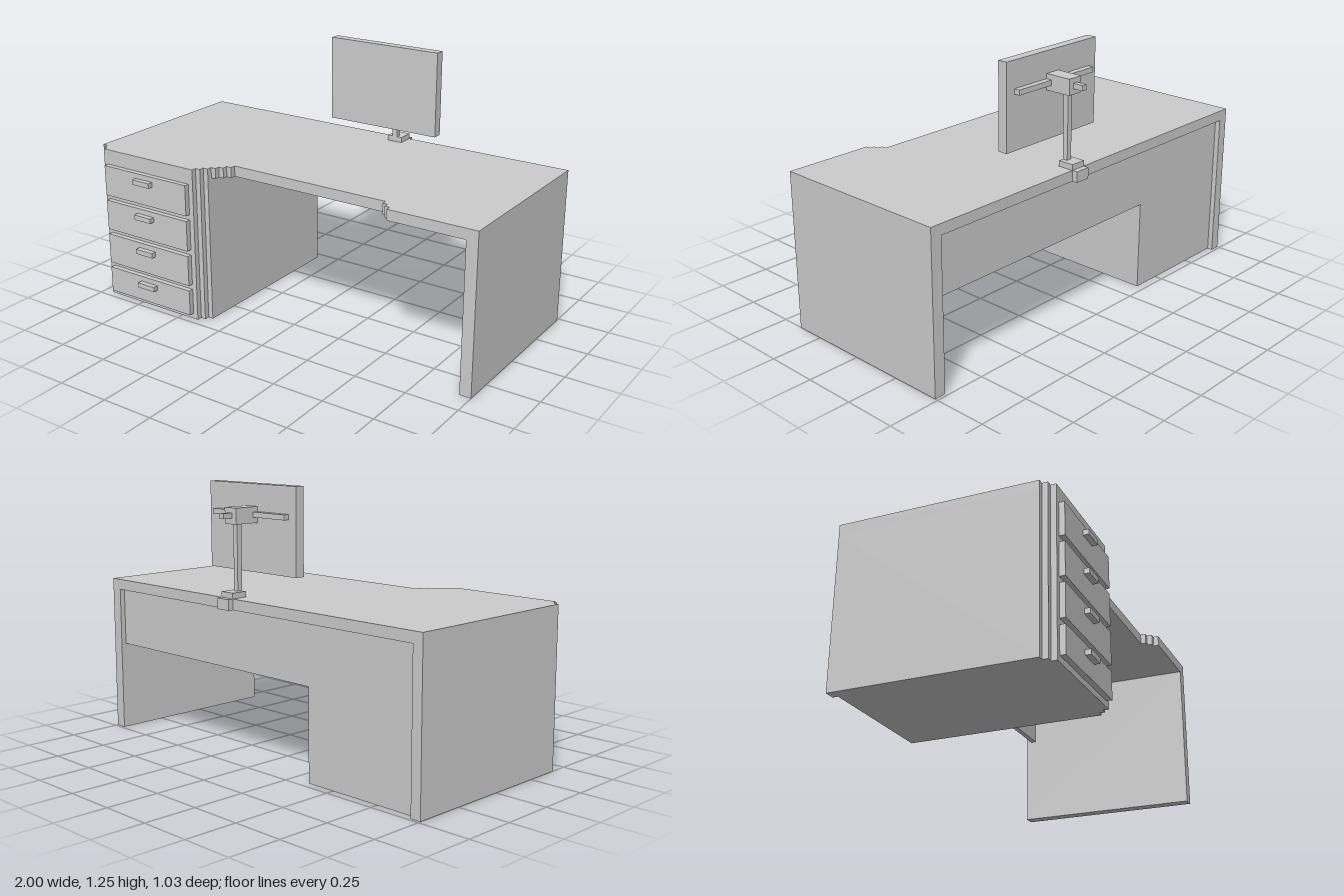
import * as THREE from 'three';

const U = 0.025; // step size of the blocky outline
const BACK = -0.487;
const material = new THREE.MeshStandardMaterial({ color: 0xcccccc, flatShading: true });

// Box given by its min/max extents on each axis
function box(parent, name, [x0, x1], [y0, y1], [z0, z1]) {
  const mesh = new THREE.Mesh(new THREE.BoxGeometry(x1 - x0, y1 - y0, z1 - z0), material);
  mesh.position.set((x0 + x1) / 2, (y0 + y1) / 2, (z0 + z1) / 2);
  mesh.name = name;
  parent.add(mesh);
}

// Vertical slab from an (x, z) plan outline
function slab(parent, name, plan, y0, y1) {
  const shape = new THREE.Shape(plan.map(([x, z]) => new THREE.Vector2(x, -z)));
  const geometry = new THREE.ExtrudeGeometry(shape, { depth: y1 - y0, bevelEnabled: false });
  geometry.rotateX(-Math.PI / 2);
  const mesh = new THREE.Mesh(geometry, material);
  mesh.position.y = y0;
  mesh.name = name;
  parent.add(mesh);
}

// Staircase of n steps in plan; each step moves in z then x (or x then z)
function stairs(x, z, n, dz, xFirst = false) {
  const points = [[x, z]];
  for (let i = 0; i < n; i++) {
    if (xFirst) points.push([x + U, z]);
    else points.push([x, z + dz]);
    x += U;
    z += dz;
    points.push([x, z]);
  }
  return points;
}

export function createModel() {
  const desk = new THREE.Group();
  desk.name = 'desk';

  // Desktop with stepped corners and a knee cut-out
  slab(desk, 'desktop', [
    [-1, BACK],
    ...stairs(-1, 0.415, 2, U, true),
    ...stairs(-0.405, 0.465, 5, -U),
    [-0.28, 0.313],
    ...stairs(0.525, 0.313, 2, U),
    [0.575, 0.388], [1, 0.388], [1, BACK],
  ], 0.70, 0.75);

  // Drawer pedestal, its back recessed behind the outer side wall
  slab(desk, 'pedestal', [
    [-1, BACK],
    ...stairs(-1, 0.415, 2, U, true),
    ...stairs(-0.405, 0.465, 2, -U),
    [-0.355, -0.462], [-0.95, -0.462], [-0.95, BACK],
  ], 0, 0.70);

  box(desk, 'sideLeg', [0.945, 1], [0, 0.70], [BACK, 0.388]);
  box(desk, 'modestyPanel', [-0.355, 0.945], [0.425, 0.70], [-0.462, -0.437]);

  // Drawers, the bottom one shallower
  for (let i = 0; i < 4; i++) {
    const top = 0.152 + i * 0.175;
    const drawer = new THREE.Group();
    drawer.name = `drawer${i + 1}`;
    box(drawer, 'drawerFront', [-0.927, -0.43], [top - (i ? 0.149 : 0.125), top], [0.465, 0.49]);
    box(drawer, 'drawerHandle', [-0.73, -0.63], [top - 0.049, top - 0.025], [0.49, 0.515]);
    desk.add(drawer);
  }

  // Monitor on a clamped stand
  const monitor = new THREE.Group();
  monitor.name = 'monitor';
  box(monitor, 'screen', [-0.15, 0.42], [0.853, 1.25], [-0.335, -0.289]);
  box(monitor, 'mountBar', [-0.104, 0.372], [1.103, 1.127], [-0.363, -0.335]);
  box(monitor, 'mountBlock', [0.097, 0.172], [1.077, 1.15], [-0.462, -0.335]);
  box(monitor, 'mountKnob', [0.122, 0.147], [1.103, 1.127], [-0.513, -0.462]);
  box(monitor, 'post', [0.122, 0.147], [0.776, 1.077], [-0.435, -0.41]);
  box(monitor, 'clampBase', [0.097, 0.172], [0.75, 0.776], [BACK, -0.41]);
  box(monitor, 'clampJaw', [0.097, 0.172], [0.70, 0.75], [-0.513, BACK]);
  desk.add(monitor);

  return desk;
}
